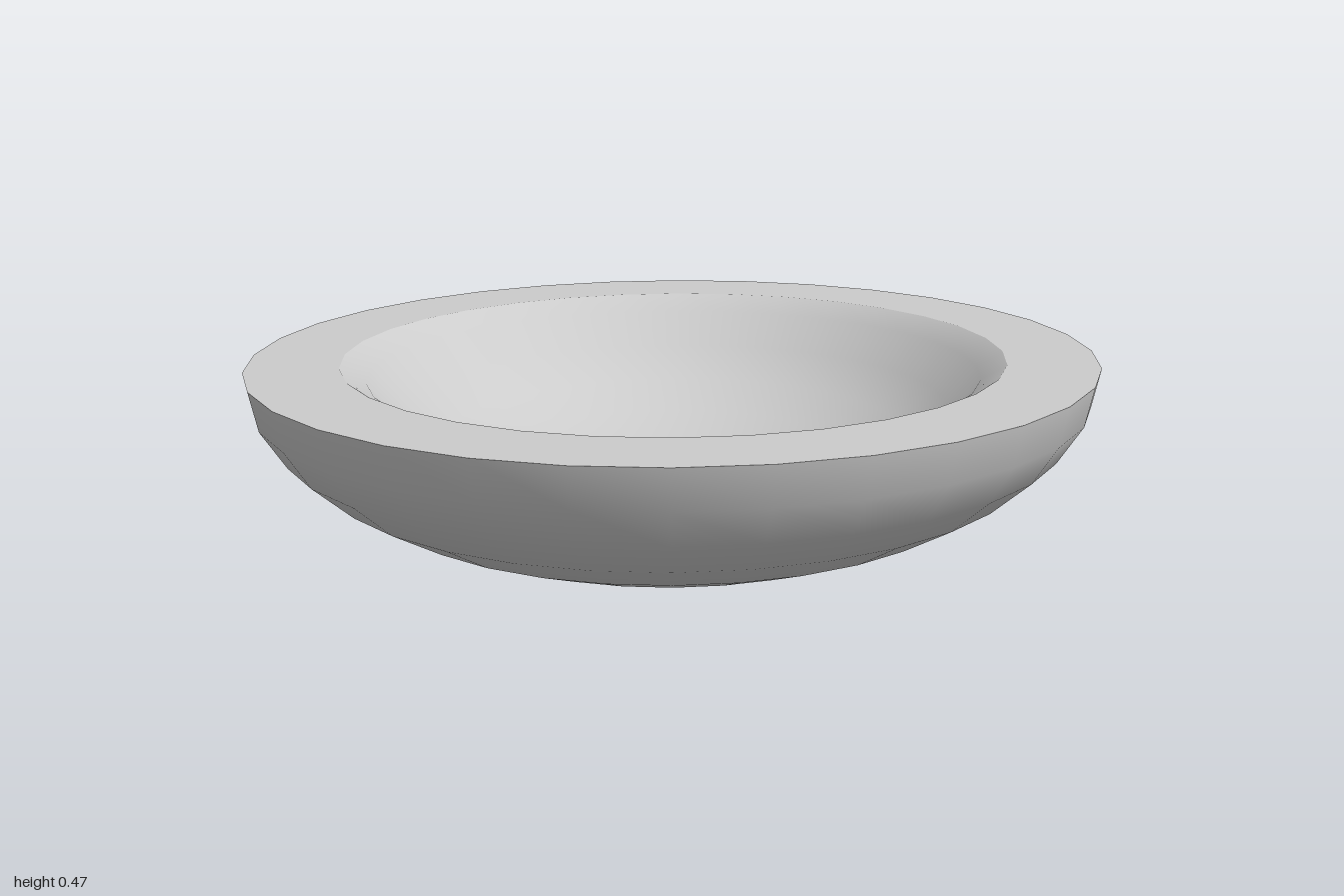
import * as THREE from 'three';

const HEIGHT = 0.47, SEGMENTS = 32, RINGS = 8, Z_SCALE = 0.967;
const HOLLOW_RADIUS = 0.785, LIP_DEPTH = 0.038;

export function createModel() {
  const bowl = new THREE.Group();
  bowl.name = 'bowl';
  const material = new THREE.MeshStandardMaterial({ color: 0xcccccc });

  // Each surface is its own lathe, so the rim edges stay sharp
  const addLathe = (name, points) => {
    const profile = points.map(([r, y]) => new THREE.Vector2(r, y));
    const mesh = new THREE.Mesh(new THREE.LatheGeometry(profile, SEGMENTS), material);
    mesh.name = name;
    mesh.scale.z = Z_SCALE;
    bowl.add(mesh);
  };

  // Profile of a flattened half sphere, from the bottom pole up to its equator
  const halfSphere = (radius, bottom) => {
    const points = [];
    for (let i = 0; i <= RINGS; i++) {
      const a = (i / RINGS) * Math.PI / 2;
      points.push([radius * Math.sin(a), bottom + HEIGHT * (1 - Math.cos(a))]);
    }
    return points;
  };

  // Outer shell
  addLathe('outerShell', halfSphere(1, 0));

  // Broad flat rim
  addLathe('rim', [[1, HEIGHT], [HOLLOW_RADIUS, HEIGHT]]);

  // Hollow: a bevelled lip, then the lower rings of a raised half sphere
  const rings = halfSphere(HOLLOW_RADIUS, 0).slice(0, RINGS - 1).reverse();
  const raise = HEIGHT - LIP_DEPTH - rings[0][1];
  addLathe('hollow', [[HOLLOW_RADIUS, HEIGHT], ...rings.map(([r, y]) => [r, y + raise])]);

  return bowl;
}
